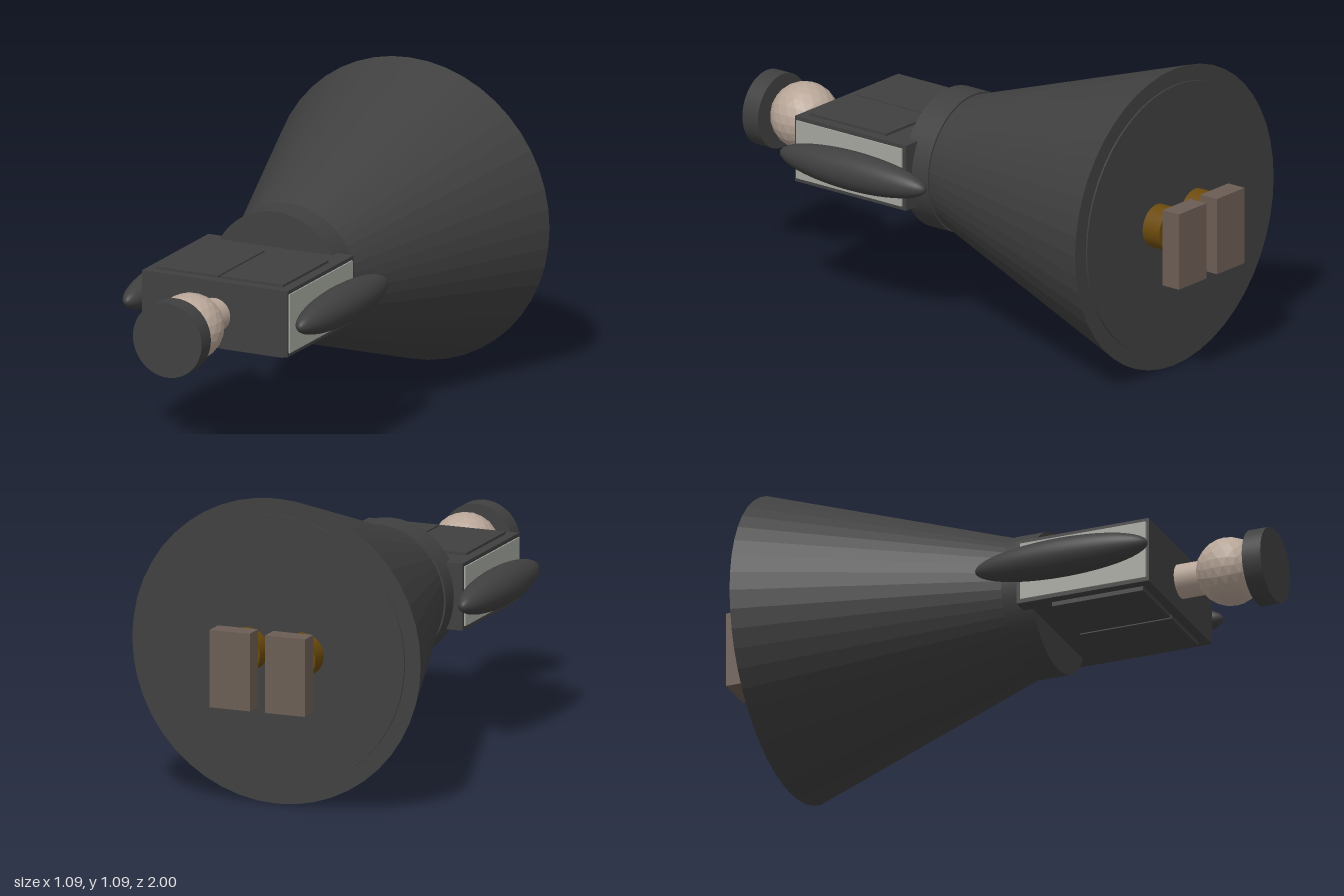
import * as THREE from 'three';

export function createModel() {
  const model = new THREE.Group();
  const CY = 0.55; // height of the long axis
  const mat = (color, flatShading = false) => new THREE.MeshStandardMaterial({ color, flatShading });
  const dark = mat(0x404040);
  const darkFaceted = mat(0x404040, true);
  const skin = mat(0xb8a698, true);
  const neckMat = mat(0xb8a698);
  const pale = mat(0xa4a69e);
  const gold = mat(0x6b4a0c);
  const brown = mat(0x6b5d54);

  const add = (name, geometry, material, x, y, z) => {
    const mesh = new THREE.Mesh(geometry, material);
    mesh.name = name;
    mesh.position.set(x, y, z);
    model.add(mesh);
    return mesh;
  };
  // Cylinder or cone lying along z, between two z values
  const barrel = (name, rFront, rBack, zFront, zBack, material, x = 0, sides = 48) =>
    add(name, new THREE.CylinderGeometry(rFront, rBack, zFront - zBack, sides).rotateX(Math.PI / 2),
      material, x, CY, (zFront + zBack) / 2);

  // Head, cap and neck
  barrel('cap', 0.135, 0.135, 1.0, 0.93, dark);
  add('head', new THREE.IcosahedronGeometry(0.121, 3), skin, 0, CY + 0.005, 0.83);
  barrel('neck', 0.061, 0.061, 0.74, 0.62, neckMat, 0, 32);

  // Torso
  add('torso', new THREE.BoxGeometry(0.57, 0.24, 0.5), dark, 0, 0.553, 0.392);

  // Raised double panels on both broad faces of the torso
  for (const [face, y] of [['upper', 0.671], ['lower', 0.428]]) {
    for (const s of [-1, 1]) {
      add(face + 'Panel', new THREE.BoxGeometry(0.245, 0.022, 0.345), dark, s * 0.1265, y, 0.433);
    }
  }

  // Waistband, flared skirt and its base disc
  barrel('waistband', 0.253, 0.253, 0.18, 0.07, dark);
  barrel('skirt', 0.243, 0.547, 0.08, -0.832, darkFaceted);
  barrel('skirtBase', 0.488, 0.488, -0.8, -0.838, dark);

  for (const s of [-1, 1]) {
    const side = s > 0 ? 'left' : 'right';
    // Pale plate on the torso flank
    add(side + 'SidePlate', new THREE.BoxGeometry(0.012, 0.213, 0.475), pale, s * 0.284, 0.553, 0.395);
    // Arm: long spindle with its poles along z
    const arm = new THREE.SphereGeometry(1, 32, 24).rotateX(Math.PI / 2).scale(0.068, 0.069, 0.325);
    add(side + 'Arm', arm, dark, s * 0.34, 0.553, 0.335);
    // Leg stub and foot
    barrel(side + 'Leg', 0.077, 0.077, -0.8, -0.913, gold, s * 0.105, 32);
    add(side + 'Foot', new THREE.BoxGeometry(0.152, 0.278, 0.073), brown, s * 0.105, 0.507, -0.9635);
  }
  return model;
}
